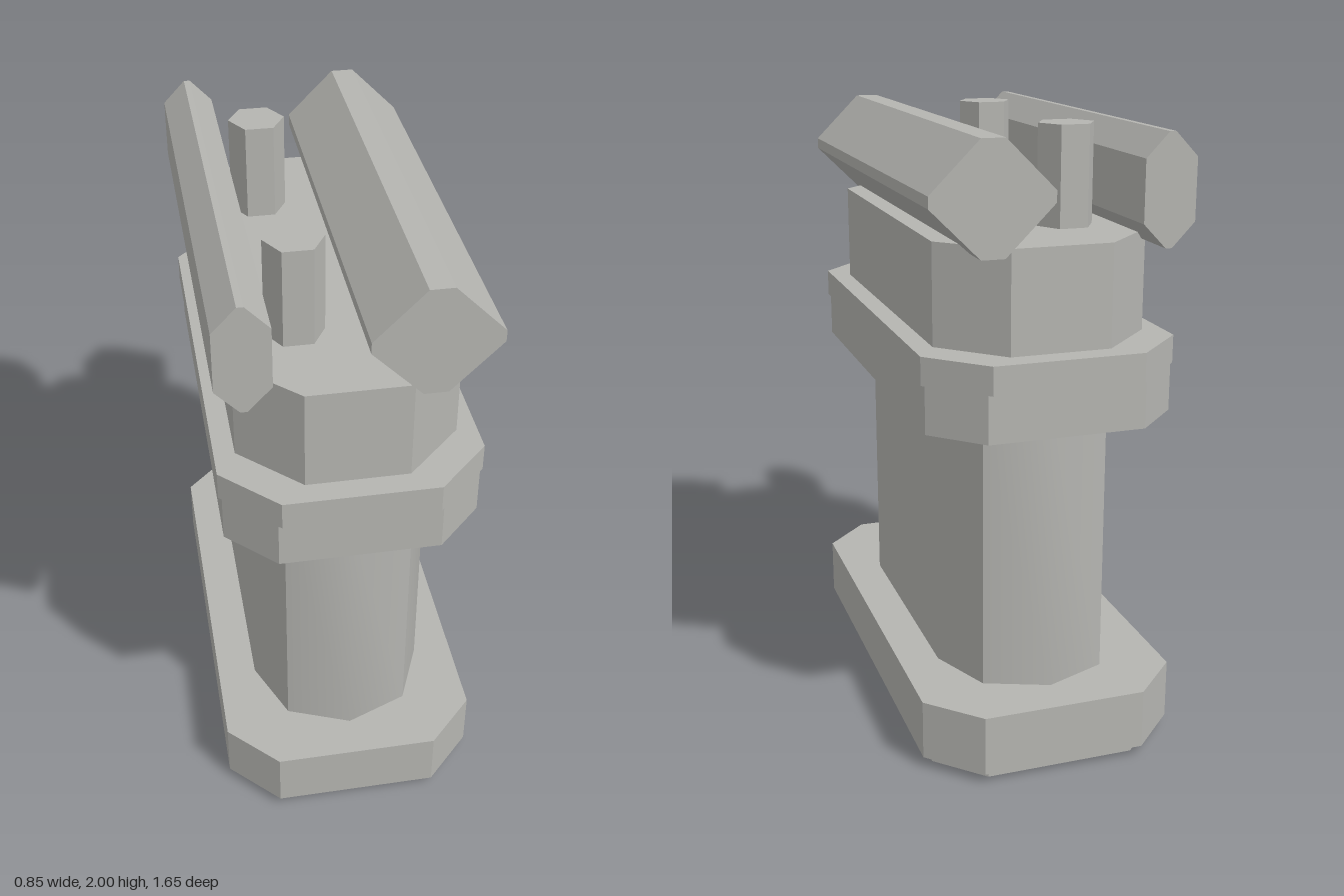
import * as THREE from 'three';
import { toCreasedNormals } from 'three/addons/utils/BufferGeometryUtils.js';

const stone = new THREE.MeshStandardMaterial({ name: 'grey stone', color: 0xb5b5b1 });

// Straight-sided solid from a 2D outline
function prism(points, depth) {
  const shape = new THREE.Shape(points.map(([x, y]) => new THREE.Vector2(x, y)));
  return new THREE.ExtrudeGeometry(shape, { depth, bevelEnabled: false });
}

// Rectangle with cut corners: half sizes w, h and half lengths of the flat edges fw, fh
function octagon(w, h, fw, fh, cx = 0, cy = 0) {
  return [
    [fw, -h], [w, -fh], [w, fh], [fw, h],
    [-fw, h], [-w, fh], [-w, -fh], [-fw, -h],
  ].map(([x, y]) => [x + cx, y + cy]);
}

export function createModel() {
  const group = new THREE.Group();
  group.name = 'pedestal';

  function add(name, geometry) {
    const mesh = new THREE.Mesh(geometry, stone);
    mesh.name = name;
    group.add(mesh);
    return mesh;
  }

  // Plan outline raised between two heights
  const upright = (points, y0, y1) =>
    prism(points, y1 - y0).rotateX(-Math.PI / 2).translate(0, y0, 0);

  // Stacked slabs: name, bottom, top, half width, half length, flat half width, flat half length
  const slabs = [
    ['footPlate', 0, 0.035, 0.39, 0.787, 0.245, 0.643],
    ['base', 0.035, 0.232, 0.425, 0.825, 0.267, 0.667],
    ['lowerCollar', 1.118, 1.27, 0.4, 0.8, 0.25, 0.65],
    ['upperCollar', 1.27, 1.36, 0.41, 0.813, 0.24, 0.643],
    ['head', 1.36, 1.682, 0.345, 0.735, 0.16, 0.55],
  ];
  for (const [name, y0, y1, w, l, fw, fl] of slabs) {
    add(name, upright(octagon(w, l, fw, fl), y0, y1));
  }

  // Column with gently bowed faces and sharp corners
  const columnPlan = [
    [0, -0.69], [0.205, -0.61], [0.295, -0.4], [0.295, 0.4],
    [0.205, 0.61], [0, 0.69], [-0.205, 0.61], [-0.295, 0.4],
    [-0.295, -0.4], [-0.205, -0.61],
  ];
  add('column', toCreasedNormals(upright(columnPlan, 0.232, 1.118), THREE.MathUtils.degToRad(44)));

  // Long beams running front to back above the head
  const beam = (name, points) => add(name, prism(points, 1.49).translate(0, 0, -0.745));
  beam('slimBeam', octagon(0.083, 0.172, 0.01, 0.096, -0.332, 1.828));
  beam('wideBeam', octagon(0.192, 0.172, 0.037, 0.018, 0.218, 1.828));

  // Six-sided pegs between the beams
  for (const z of [-0.4, 0.4]) {
    const peg = new THREE.CylinderGeometry(0.093, 0.093, 0.318, 6).rotateY(Math.PI / 6);
    const mesh = add(z > 0 ? 'frontPeg' : 'backPeg', toCreasedNormals(peg, 0.5));
    mesh.position.set(-0.135, 1.841, z);
  }

  return group;
}
